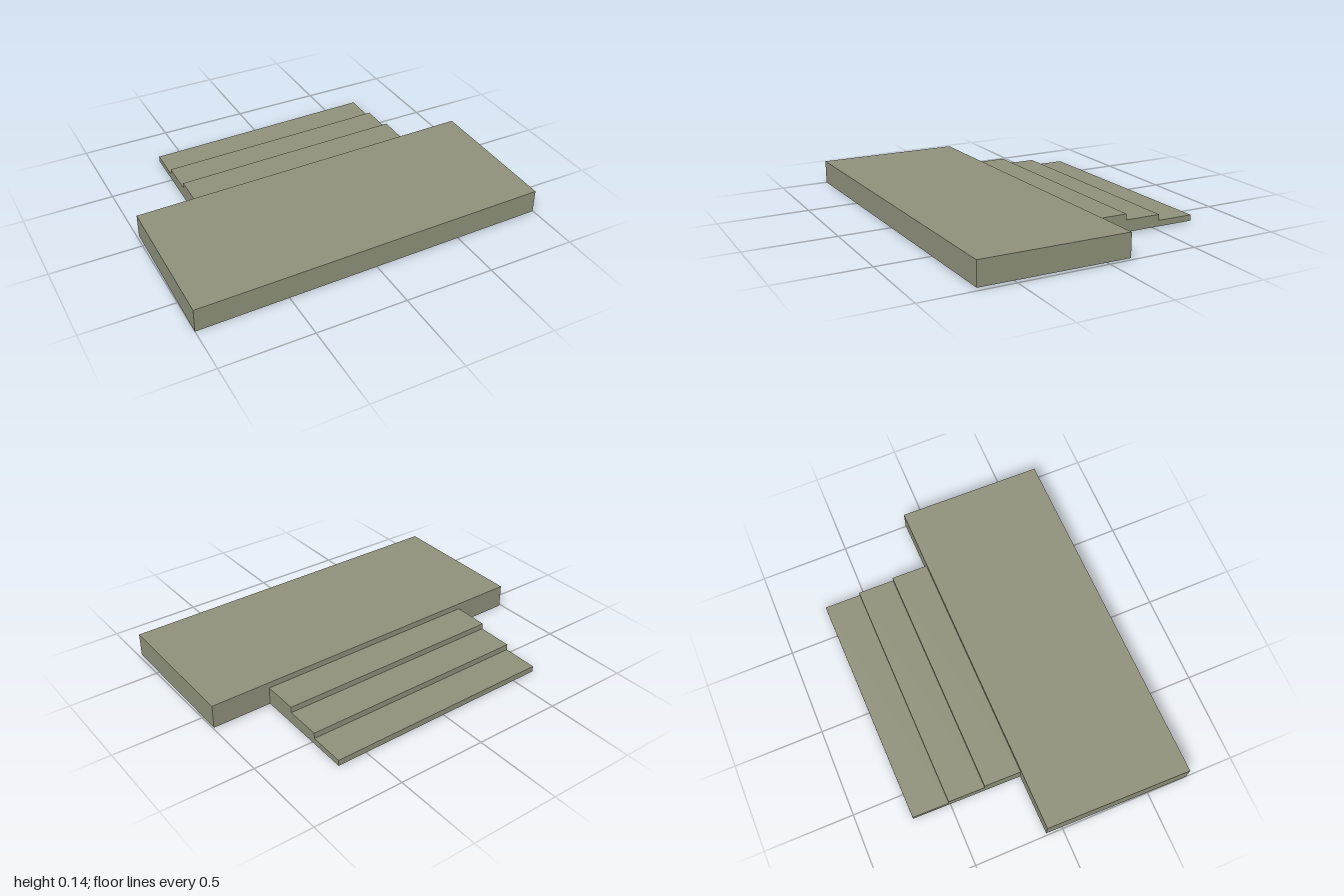
import * as THREE from 'three';

const HEIGHT = 0.132;
const SKEW = 0.0145; // slight ground-plan skew
const TILT = 0.005; // slight rise towards +x

// Open-bottomed shell: a (z, y) profile running front to back, spanning x = -w..w
function shell(w, profile) {
  const pos = [];
  const quad = (a, b, c, d) => pos.push(...a, ...b, ...c, ...a, ...c, ...d);
  for (let i = 0; i < profile.length - 1; i++) {
    const [za, ya] = profile[i];
    const [zb, yb] = profile[i + 1];
    // tread or riser
    quad([-w, ya, za], [w, ya, za], [w, yb, zb], [-w, yb, zb]);
    // side walls below each tread
    if (ya === yb) {
      quad([w, 0, za], [w, 0, zb], [w, yb, zb], [w, ya, za]);
      quad([-w, 0, zb], [-w, 0, za], [-w, ya, za], [-w, yb, zb]);
    }
  }
  const geo = new THREE.BufferGeometry();
  geo.setAttribute('position', new THREE.Float32BufferAttribute(pos, 3));
  // lean the whole shell out of square
  geo.applyMatrix4(new THREE.Matrix4().set(
    1, 0, -SKEW, 0.004,
    TILT, 1, 0, 0.005,
    -SKEW, 0, 1, 0,
    0, 0, 0, 1));
  geo.computeVertexNormals();
  return geo;
}

export function createModel() {
  const group = new THREE.Group();
  const stone = new THREE.MeshStandardMaterial({ color: 0x8f917b, side: THREE.DoubleSide });
  stone.name = 'olive grey stone';

  const add = (name, geo) => {
    const mesh = new THREE.Mesh(geo, stone);
    mesh.name = name;
    group.add(mesh);
  };

  // Wide platform, hollow underneath
  const front = 0.715, back = -0.105;
  add('platform', shell(0.994, [[front, 0], [front, HEIGHT], [back, HEIGHT], [back, 0]]));

  // Three steps descending behind the platform
  const depth = 0.206;
  const stairs = [];
  for (let i = 0; i < 3; i++) {
    const y = HEIGHT * (3 - i) / 4;
    stairs.push([back - i * depth, y], [back - (i + 1) * depth, y]);
  }
  stairs.push([back - 3 * depth, 0]);
  add('steps', shell(0.6575, stairs));

  return group;
}
